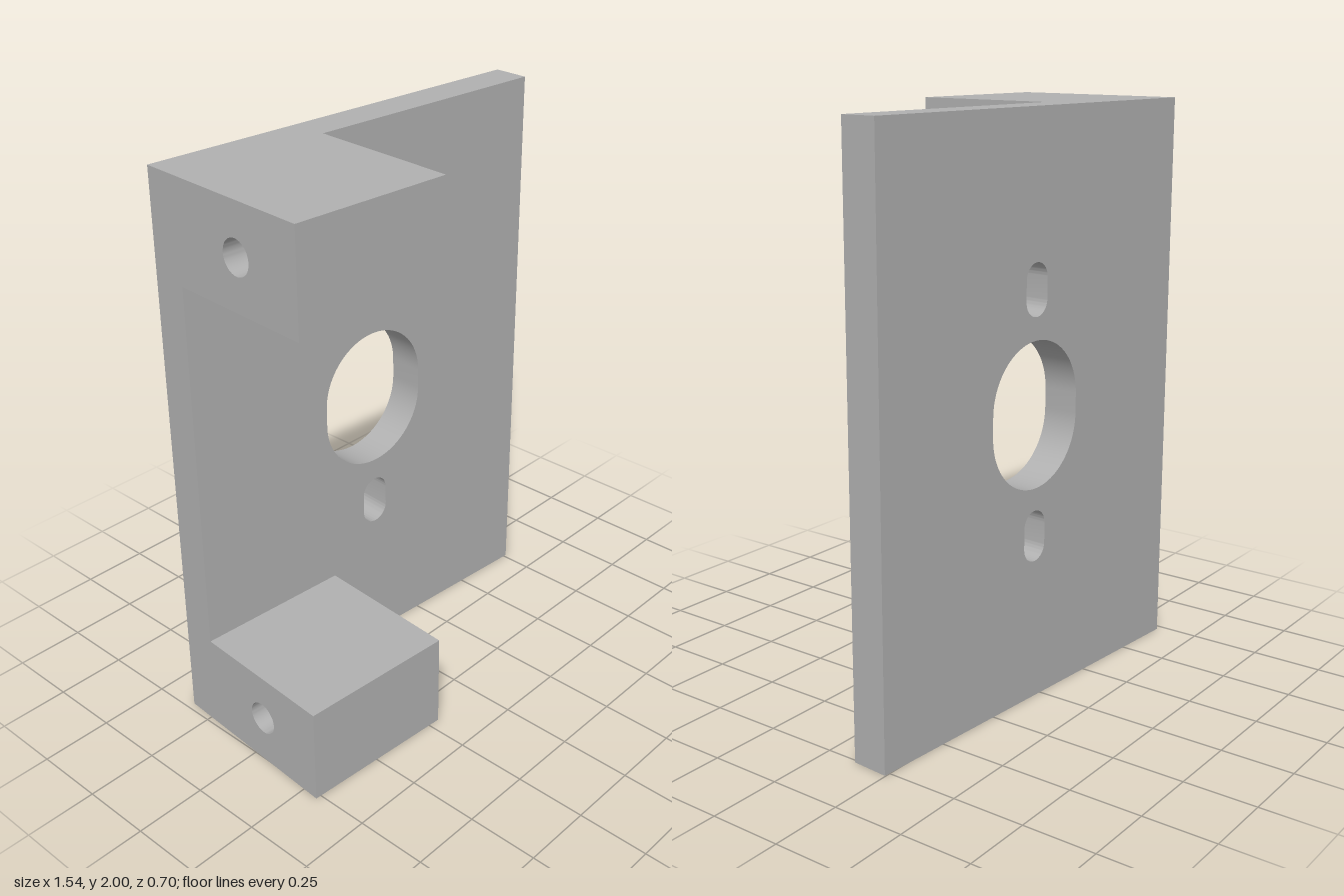
import * as THREE from 'three';
import { toCreasedNormals } from 'three/addons/utils/BufferGeometryUtils.js';

const WIDTH = 1.497, HEIGHT = 2, THICK = 0.13;           // plate
const BLOCK_W = 0.565, BLOCK_H = 0.346, REACH = 0.665;   // mounting blocks
const TILT = THREE.MathUtils.degToRad(4);

function rectangle(x0, y0, x1, y1) {
  return new THREE.Shape([
    new THREE.Vector2(x0, y0), new THREE.Vector2(x1, y0),
    new THREE.Vector2(x1, y1), new THREE.Vector2(x0, y1),
  ]);
}

// Upright slot with rounded ends
function slot(cx, cy, width, height) {
  const r = width / 2, h = height / 2 - r;
  const path = new THREE.Path();
  path.absarc(cx, cy + h, r, 0, Math.PI, false);
  path.absarc(cx, cy - h, r, Math.PI, Math.PI * 2, false);
  path.closePath();
  return path;
}

function extrude(shape, depth) {
  const geometry = new THREE.ExtrudeGeometry(shape, { depth, bevelEnabled: false, curveSegments: 24 });
  return toCreasedNormals(geometry, 0.5);
}

export function createModel() {
  const model = new THREE.Group();
  model.name = 'mountingBracket';
  const metal = new THREE.MeshStandardMaterial({ color: 0xb0b0b0 });
  metal.name = 'grey metal';

  // The bracket is laid out from its back corner, then turned slightly
  const bracket = new THREE.Group();
  bracket.name = 'bracket';
  bracket.rotation.y = -TILT;
  bracket.position.set(-0.7235, 0, -0.3514);
  model.add(bracket);

  const add = (name, geometry) => {
    const mesh = new THREE.Mesh(geometry, metal);
    mesh.name = name;
    bracket.add(mesh);
    return mesh;
  };

  // Back plate with a large opening and two small slots
  const plate = rectangle(0, 0, WIDTH, HEIGHT);
  const cx = 0.766, cy = 1.002;
  plate.holes.push(slot(cx, cy, 0.435, 0.502));
  for (const side of [-1, 1]) plate.holes.push(slot(cx, cy + side * 0.418, 0.108, 0.178));
  add('backPlate', extrude(plate, THICK));

  // Mounting blocks, each drilled from side to side
  for (const [name, bottom, holeY] of [
    ['lowerBlock', 0, 0.176],
    ['upperBlock', HEIGHT - BLOCK_H, 1.827],
  ]) {
    const profile = rectangle(-REACH, bottom, -THICK, bottom + BLOCK_H);
    const hole = new THREE.Path();
    hole.absarc(-0.4, holeY, 0.058, 0, Math.PI * 2, false);
    profile.holes.push(hole);
    add(name, extrude(profile, BLOCK_W).rotateY(Math.PI / 2));
  }
  return model;
}
